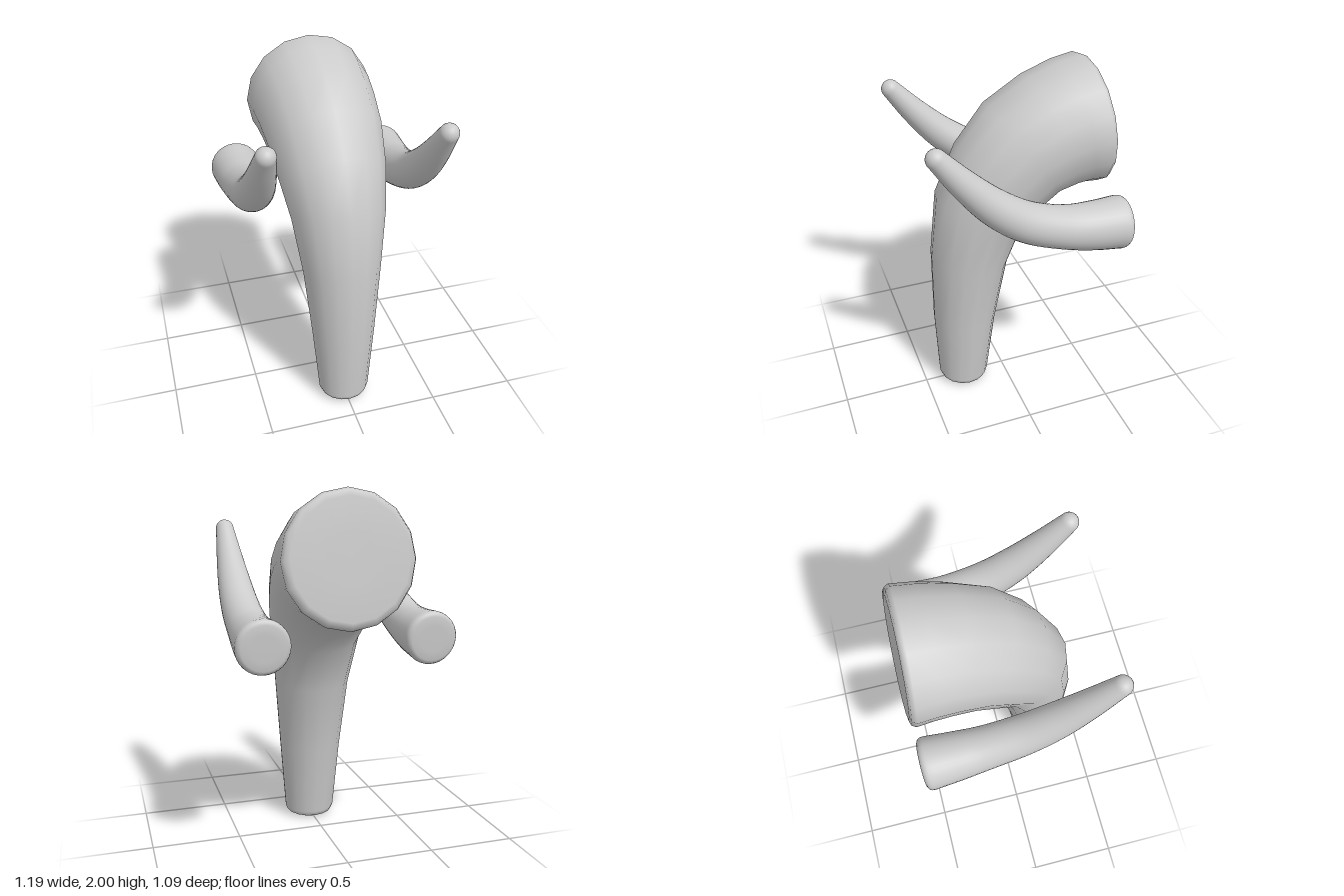
import * as THREE from 'three';

// Sweep round sections along a path in the YZ plane.
// knots: [radius, y, z]; startCap / endCap: [distance outward, radius scale] rings, last one closes to a point.
function taperedTube(knots, sides, steps, startCap, endCap) {
  const curve = new THREE.CatmullRomCurve3(knots.map(k => new THREE.Vector3(...k)), false, 'centripetal');
  const rings = [];
  const sample = u => {
    const p = curve.getPoint(u), t = curve.getTangent(u);
    const len = Math.hypot(t.y, t.z);
    return { r: p.x, y: p.y, z: p.z, ty: t.y / len, tz: t.z / len };
  };
  const shift = (s, d, k) => ({ ...s, r: s.r * k, y: s.y + s.ty * d, z: s.z + s.tz * d });

  const first = sample(0), last = sample(1);
  for (const [d, k] of [...startCap].reverse()) rings.push(shift(first, -d, k));
  for (let i = 0; i <= steps; i++) rings.push(sample(i / steps));
  for (const [d, k] of endCap) rings.push(shift(last, d, k));

  const pos = [], idx = [];
  for (const s of rings) {
    for (let j = 0; j < sides; j++) {
      const a = (j / sides) * Math.PI * 2;
      const c = Math.cos(a) * s.r, h = Math.sin(a) * s.r;
      pos.push(c, s.y + h * s.tz, s.z - h * s.ty);
    }
  }
  for (let i = 0; i < rings.length - 1; i++) {
    for (let j = 0; j < sides; j++) {
      const a = i * sides + j, b = i * sides + (j + 1) % sides;
      idx.push(a, b, b + sides, a, b + sides, a + sides);
    }
  }
  // close both ends with a fan
  const n = rings.length;
  const e0 = rings[0], e1 = rings[n - 1], c0 = n * sides, c1 = c0 + 1;
  pos.push(0, e0.y, e0.z, 0, e1.y, e1.z);
  for (let j = 0; j < sides; j++) {
    const k = (j + 1) % sides, top = (n - 1) * sides;
    idx.push(c0, k, j, c1, top + j, top + k);
  }
  const geo = new THREE.BufferGeometry();
  geo.setAttribute('position', new THREE.Float32BufferAttribute(pos, 3));
  geo.setIndex(idx);
  geo.computeVertexNormals();
  return geo;
}

export function createModel() {
  const group = new THREE.Group();
  const material = new THREE.MeshStandardMaterial({ color: 0xcccccc });

  // Trunk: narrow foot, sweeping up and back to a wide cut end
  const trunkKnots = [
    [0.150, 0.05, 0.258],
    [0.184, 0.46, 0.240],
    [0.222, 0.88, 0.200],
    [0.264, 1.19, 0.130],
    [0.300, 1.38, 0.010],
    [0.322, 1.52, -0.120],
    [0.338, 1.595, -0.270],
    [0.350, 1.63, -0.390],
    [0.360, 1.64, -0.492],
  ];
  const trunk = new THREE.Mesh(
    taperedTube(trunkKnots, 16, trunkKnots.length - 1,
      [[0.028, 0.92], [0.036, 0.82], [0.048, 0.35]],
      [[0.024, 0.96], [0.032, 0.88], [0.033, 0.4]]),
    material);
  trunk.name = 'trunk';
  group.add(trunk);

  // Tusks: curved horns with rounded tips, one on each side
  const tuskKnots = [
    [0.144, 1.224, -0.495],
    [0.132, 1.232, -0.350],
    [0.118, 1.257, -0.190],
    [0.108, 1.333, 0.025],
    [0.096, 1.447, 0.190],
    [0.076, 1.597, 0.340],
    [0.052, 1.766, 0.481],
  ];
  const tip = [];
  for (let i = 1; i <= 6; i++) {
    const a = (i / 6.5) * Math.PI / 2;
    tip.push([0.052 * Math.sin(a), Math.cos(a)]);
  }
  const tuskGeo = taperedTube(tuskKnots, 32, 36,
    [[0.015, 0.985], [0.028, 0.93], [0.036, 0.82], [0.037, 0.5]], tip);
  for (const [name, side] of [['leftTusk', 1], ['rightTusk', -1]]) {
    const tusk = new THREE.Mesh(tuskGeo, material);
    tusk.name = name;
    tusk.position.x = side * 0.453;
    group.add(tusk);
  }
  return group;
}
